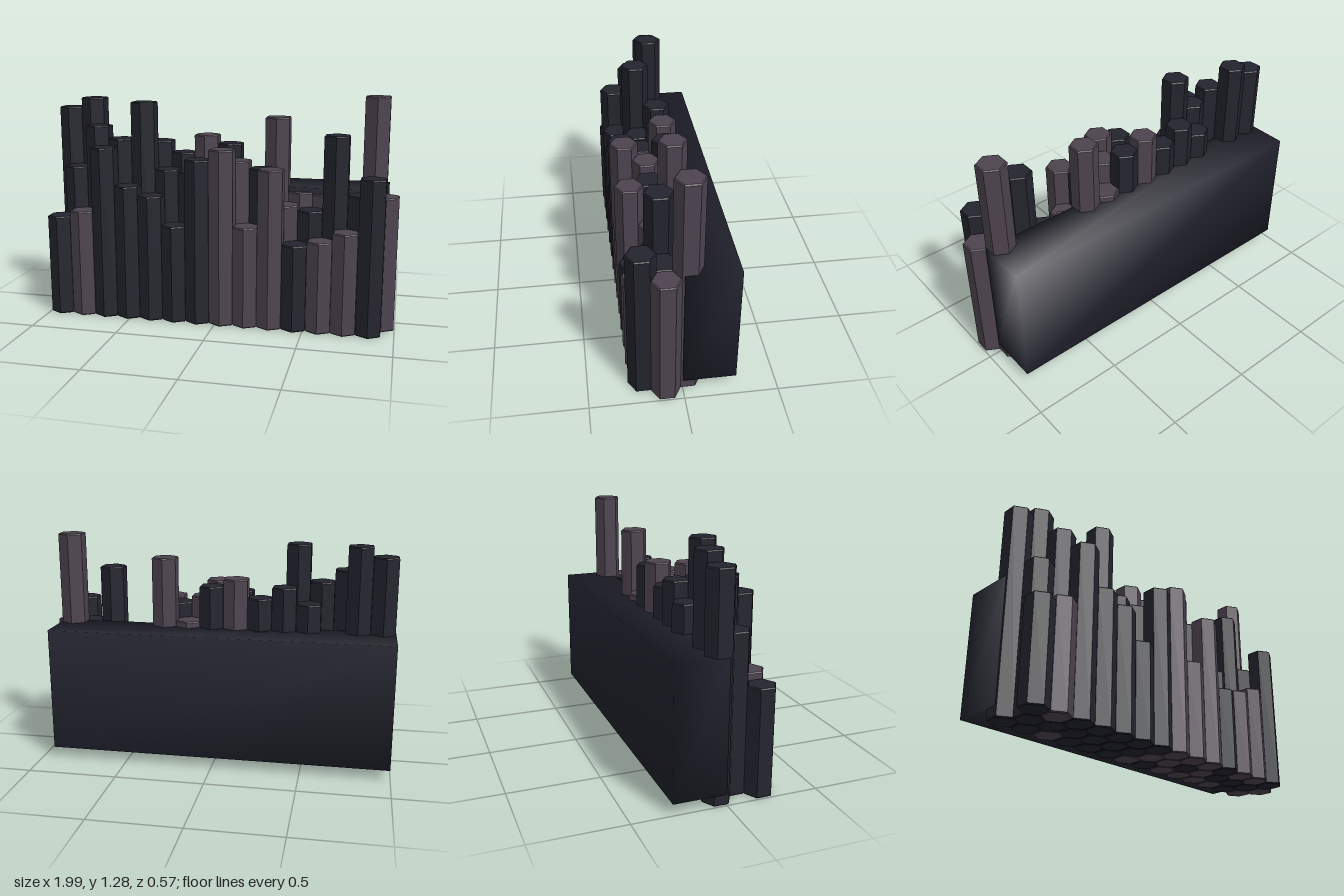
import * as THREE from 'three';
import { mergeVertices } from 'three/addons/utils/BufferGeometryUtils.js';

const PITCH = 0.1372; // spacing of columns along x
const RADIUS = 0.0785; // corner radius of a hexagonal column
const BEVEL = 0.006;

// Rows of 14 columns from left to right; negative heights are the pale stone
const ROWS = [
  { name: 'backColumn', x: -0.925, z: -0.027,
    h: [1.195, 1.25, -0.7, 0.92, 1.01, 0.945, -1.05, 1.005, -0.8, -1.16, -0.74, -0.73, 0.7, -1.285] },
  { name: 'middleColumn', x: -0.856, z: 0.09,
    h: [0.86, 1.1, 1.03, 1.24, 0.86, 0.85, -0.85, -0.925, 0.885, -0.685, 0.66, 1.08, 0.755, -0.755] },
  { name: 'frontColumn', x: -0.925, z: 0.207,
    h: [0.585, -0.62, 0.99, 0.775, 0.725, 0.56, 0.94, -1.0, -0.575, -0.9, 0.49, -0.515, -0.57, 0.87] },
];

// Hexagonal prism with slightly bevelled rims and flat facets
function columnGeometry(height) {
  const profile = [
    [0, 0], [RADIUS - BEVEL, 0], [RADIUS, BEVEL],
    [RADIUS, height - BEVEL], [RADIUS - BEVEL, height], [0, height],
  ].map(([r, y]) => new THREE.Vector2(r, y));
  const geometry = new THREE.LatheGeometry(profile, 6).toNonIndexed();
  geometry.computeVertexNormals();
  return geometry;
}

export function createModel() {
  const model = new THREE.Group();
  model.name = 'basaltColumns';

  const darkStone = new THREE.MeshStandardMaterial({ color: 0x23242e });
  darkStone.name = 'darkStone';
  const paleStone = new THREE.MeshStandardMaterial({ color: 0x4d434f });
  paleStone.name = 'paleStone';
  const backingStone = new THREE.MeshStandardMaterial({ color: 0x20212c });
  backingStone.name = 'backingStone';

  // Three staggered rows of columns
  for (const row of ROWS) {
    const group = new THREE.Group();
    group.name = row.name + 's';
    row.h.forEach((h, i) => {
      const column = new THREE.Mesh(columnGeometry(Math.abs(h)), h < 0 ? paleStone : darkStone);
      column.name = row.name + (i + 1);
      column.position.set(row.x + i * PITCH, 0, row.z);
      group.add(column);
    });
    model.add(group);
  }

  // Backing block with softly shared normals at its corners
  const box = new THREE.BoxGeometry(1.932, 0.705, 0.285);
  box.deleteAttribute('normal');
  box.deleteAttribute('uv');
  const blockGeometry = mergeVertices(box);
  blockGeometry.computeVertexNormals();
  const block = new THREE.Mesh(blockGeometry, backingStone);
  block.name = 'backingBlock';
  block.position.set(-0.032, 0.4125, -0.1425);
  model.add(block);

  return model;
}
